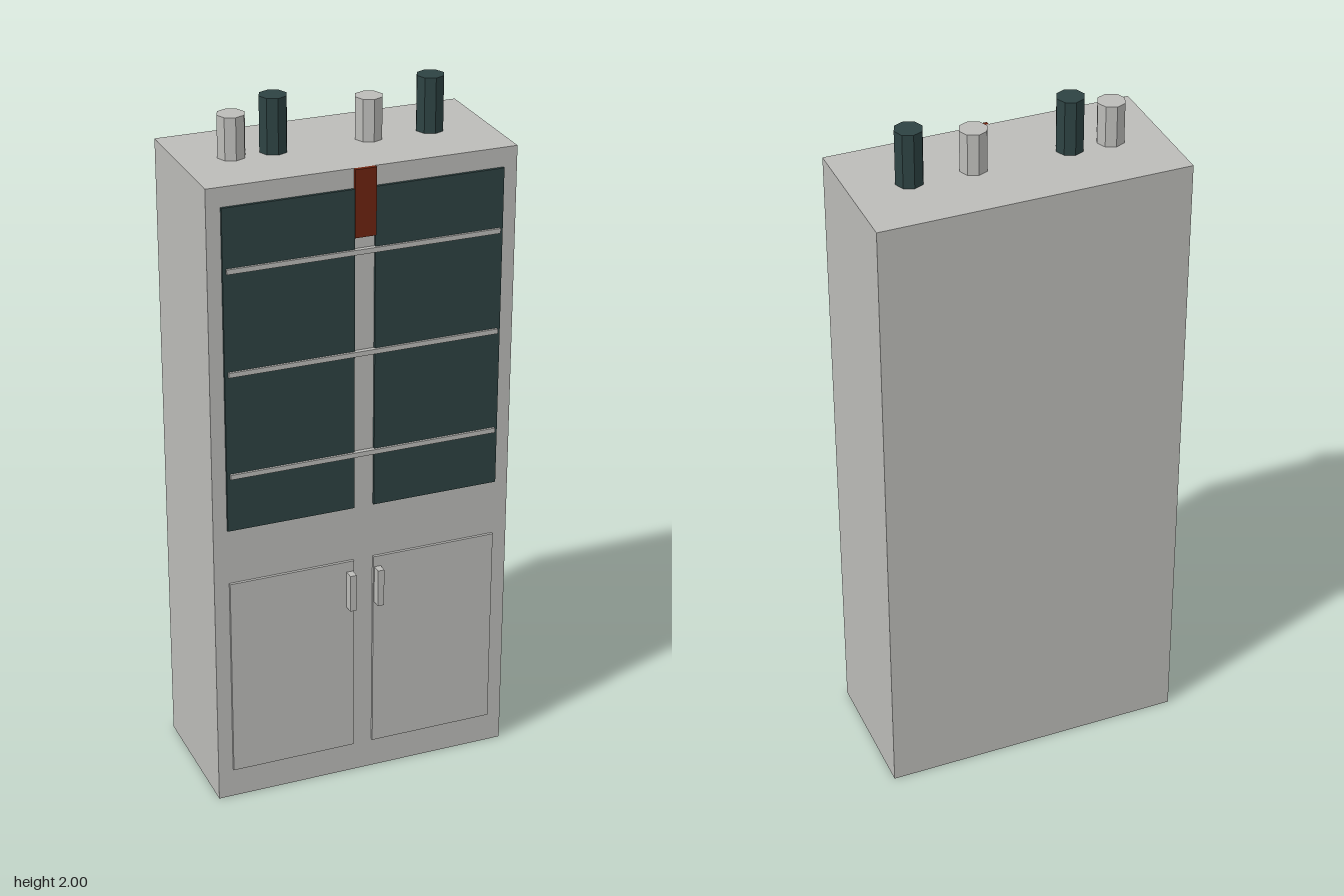
import * as THREE from 'three';

export function createModel() {
  const group = new THREE.Group();
  group.name = 'cabinet';

  const mat = (name, color) => {
    const m = new THREE.MeshStandardMaterial({ color, flatShading: true });
    m.name = name;
    return m;
  };
  const grey = mat('lightGrey', 0xbbbbb8);
  const dark = mat('darkTeal', 0x2d4242);
  const red = mat('rustRed', 0x6e2410);

  // Box given by its minimum and maximum corners
  const box = (name, material, [x0, y0, z0], [x1, y1, z1]) => {
    const mesh = new THREE.Mesh(new THREE.BoxGeometry(x1 - x0, y1 - y0, z1 - z0), material);
    mesh.position.set((x0 + x1) / 2, (y0 + y1) / 2, (z0 + z1) / 2);
    mesh.name = name;
    group.add(mesh);
  };

  const top = 1.845, front = 0.185;
  box('body', grey, [-0.437, 0, -0.222], [0.437, top, front]);

  // Glass panes, lower doors and handles, mirrored left and right
  for (const [side, s] of [['left', 1], ['right', -1]]) {
    const pair = (name, material, xa, xb, y0, y1, z0, z1) =>
      box(side + name, material, [Math.min(s * xa, s * xb), y0, z0], [Math.max(s * xa, s * xb), y1, z1]);
    pair('Pane', dark, 0.029, 0.397, 0.857, 1.79, front, 0.193);
    pair('Door', grey, 0.029, 0.394, 0.09, 0.692, front, 0.193);
    pair('Handle', grey, 0.032, 0.051, 0.548, 0.66, 0.193, 0.22);
  }

  // Thin shelf rails across both panes
  for (const y of [1.022, 1.322, 1.615])
    box('shelfRail', grey, [-0.388, y - 0.007, 0.187], [0.388, y + 0.007, 0.2]);

  box('centreTag', red, [-0.03, 1.655, front], [0.03, top, 0.197]);

  // Eight-sided jars standing on the top
  const jars = [[-0.293, 1.963, grey], [-0.176, 2, dark], [0.095, 1.963, grey], [0.272, 2, dark]];
  for (const [x, y, material] of jars) {
    const jar = new THREE.Mesh(new THREE.CylinderGeometry(0.039, 0.039, y - top, 8), material);
    jar.position.set(x, (y + top) / 2, -0.018);
    jar.name = 'jar';
    group.add(jar);
  }
  return group;
}
